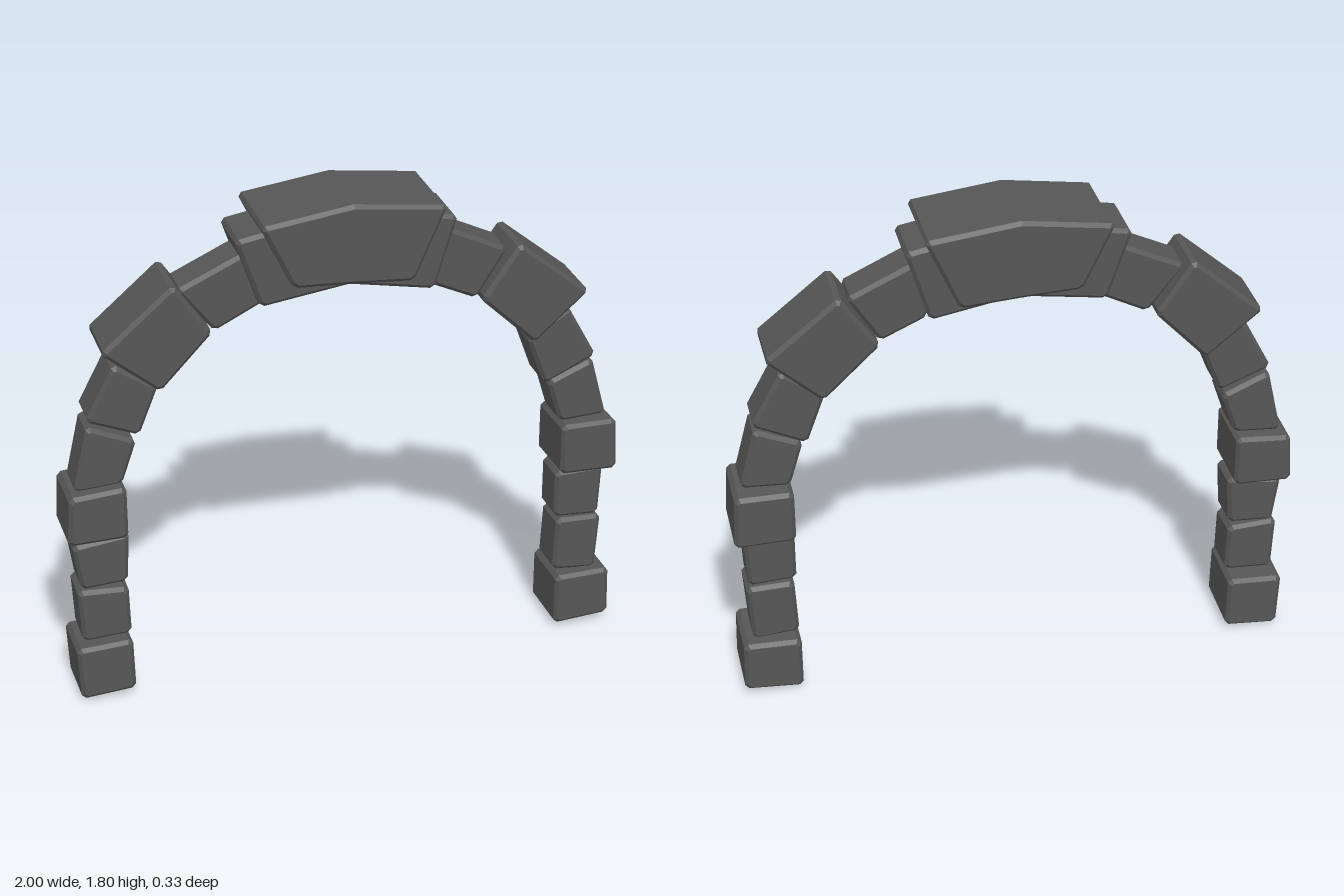
import * as THREE from 'three';

const stoneGrey = new THREE.MeshStandardMaterial({ color: 0x565656 });
stoneGrey.name = 'stone grey';

// Clip the sharp corners of a front outline; shallow bends stay as they are.
function clipCorners(points, cut) {
  const out = [];
  points.forEach((p, i) => {
    const a = points[(i + points.length - 1) % points.length].clone().sub(p).normalize();
    const b = points[(i + 1) % points.length].clone().sub(p).normalize();
    if (a.dot(b) < -0.7) out.push(p);
    else out.push(p.clone().addScaledVector(a, cut), p.clone().addScaledVector(b, cut));
  });
  return out;
}

// One chamfered block: front outline, back and front z, and a tilt of its height along z.
function stone(name, outline, back, front, tilt = 0) {
  const bevel = 0.013;
  const points = clipCorners(outline.map(([x, y]) => new THREE.Vector2(x, y)), 0.015);
  const geometry = new THREE.ExtrudeGeometry(new THREE.Shape(points), {
    depth: front - back - 2 * bevel,
    bevelEnabled: true,
    bevelSegments: 1,
    bevelThickness: bevel,
    bevelSize: bevel,
    bevelOffset: -bevel,
  });
  geometry.translate(0, 0, back + bevel);
  const pos = geometry.attributes.position;
  for (let i = 0; i < pos.count; i++) pos.setY(i, pos.getY(i) + tilt * pos.getZ(i));
  geometry.computeVertexNormals();
  const mesh = new THREE.Mesh(geometry, stoneGrey);
  mesh.name = name;
  return mesh;
}

// Stones of each leg from the ground up: name, outline, back z, front z, tilt.
const rightLeg = [
  ['baseStone', [[-0.99, 0.22], [-0.79, 0.23], [-0.785, 0.03], [-0.98, 0.015]], -0.12, 0.115, 0.06],
  ['lowerStone', [[-0.97, 0.44], [-0.79, 0.43], [-0.785, 0.245], [-0.96, 0.235]], -0.08, 0.075, -0.04],
  ['middleStone', [[-0.98, 0.615], [-0.78, 0.64], [-0.79, 0.45], [-0.955, 0.44]], -0.075, 0.07, 0],
  ['capStone', [[-0.99, 0.825], [-0.79, 0.84], [-0.79, 0.645], [-1, 0.64]], -0.125, 0.115, 0.03],
  ['lowerArchStone', [[-0.91, 1.07], [-0.74, 0.995], [-0.795, 0.835], [-0.965, 0.825]], -0.08, 0.07, 0],
  ['middleArchStone', [[-0.81, 1.29], [-0.66, 1.19], [-0.73, 1.015], [-0.915, 1.09]], -0.08, 0.075, 0],
  ['shoulderStone', [[-0.605, 1.57], [-0.475, 1.38], [-0.66, 1.185], [-0.86, 1.35]], -0.13, 0.11, 0],
  ['upperArchStone', [[-0.33, 1.65], [-0.29, 1.45], [-0.46, 1.365], [-0.59, 1.53]], -0.08, 0.07, 0],
];
const leftLeg = [
  ['baseStone', [[0.785, 0.22], [0.99, 0.225], [0.995, 0.035], [0.785, 0.02]], -0.125, 0.115, 0.03],
  ['lowerStone', [[0.795, 0.44], [0.965, 0.435], [0.95, 0.215], [0.785, 0.23]], -0.08, 0.075, 0.03],
  ['middleStone', [[0.785, 0.635], [0.965, 0.64], [0.955, 0.44], [0.785, 0.45]], -0.075, 0.07, 0],
  ['capStone', [[0.785, 0.84], [0.99, 0.84], [1, 0.64], [0.785, 0.645]], -0.125, 0.115, 0.04],
  ['lowerArchStone', [[0.74, 1.005], [0.905, 1.075], [0.965, 0.85], [0.79, 0.84]], -0.08, 0.07, 0],
  ['middleArchStone', [[0.655, 1.19], [0.805, 1.29], [0.915, 1.09], [0.725, 1]], -0.08, 0.075, 0],
  ['shoulderStone', [[0.605, 1.57], [0.865, 1.36], [0.67, 1.185], [0.47, 1.375]], -0.125, 0.11, 0],
  ['upperArchStone', [[0.34, 1.65], [0.575, 1.54], [0.465, 1.365], [0.3, 1.44]], -0.08, 0.07, 0],
];

export function createModel() {
  const arch = new THREE.Group();
  arch.name = 'stoneArch';

  for (const [name, list] of [['rightLeg', rightLeg], ['leftLeg', leftLeg]]) {
    const leg = new THREE.Group();
    leg.name = name;
    for (const row of list) leg.add(stone(...row));
    arch.add(leg);
  }

  // Keystone: a wide inner block with a thicker, narrower one through it
  const keystone = new THREE.Group();
  keystone.name = 'keystone';
  keystone.add(
    stone('innerKeystone', [[-0.395, 1.7], [0, 1.77], [0.38, 1.7], [0.3, 1.44], [0, 1.495], [-0.31, 1.45]], -0.11, 0.11),
    stone('outerKeystone', [[-0.32, 1.76], [0, 1.805], [0.325, 1.765], [0.21, 1.505], [0, 1.52], [-0.21, 1.53]], -0.17, 0.165),
  );
  arch.add(keystone);
  return arch;
}
